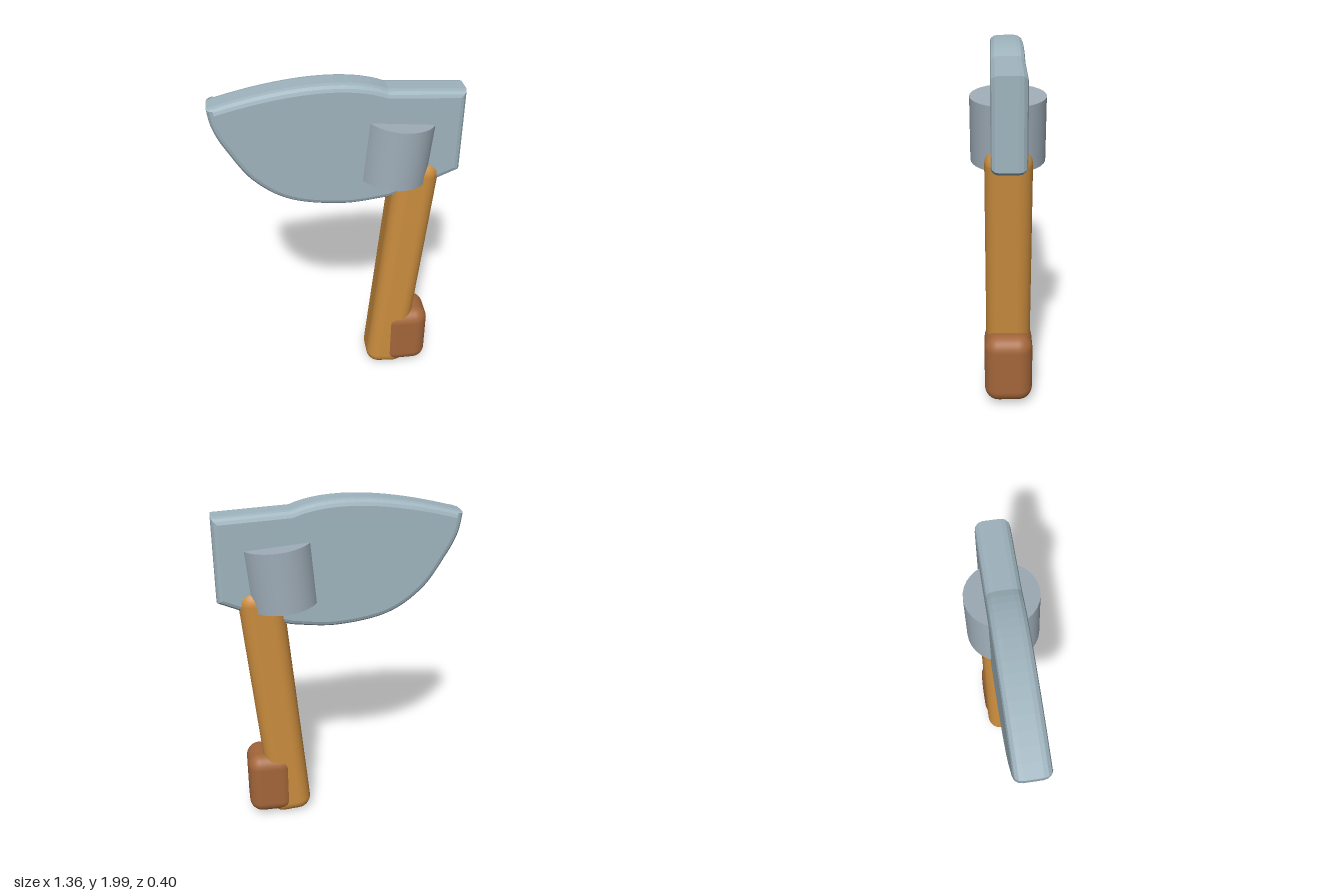
import * as THREE from 'three';
import { RoundedBoxGeometry } from 'three/addons/geometries/RoundedBoxGeometry.js';

const TILT = -0.092; // handle and collar lean toward +x

function addPart(group, name, geometry, color, x, y, tilt = 0) {
  const mesh = new THREE.Mesh(geometry, new THREE.MeshStandardMaterial({ color }));
  mesh.name = name;
  mesh.position.set(x, y, 0);
  mesh.rotation.z = tilt;
  group.add(mesh);
  return mesh;
}

// Blade outline: flat poll on the right, curved cutting edge on the left
function bladeGeometry() {
  const outline = new THREE.Shape();
  outline.moveTo(0.68, 1.925);
  outline.lineTo(0.26, 1.948);
  outline.bezierCurveTo(0.06, 2.03, -0.28, 2.01, -0.68, 1.895);
  outline.splineThru([
    [-0.66, 1.78], [-0.6, 1.655], [-0.47, 1.462], [-0.27, 1.325], [0.02, 1.273], [0.28, 1.295],
  ].map(([x, y]) => new THREE.Vector2(x, y)));
  outline.quadraticCurveTo(0.45, 1.35, 0.68, 1.45);
  outline.closePath();

  const bevel = 0.035, half = 0.092, round = 0.045;
  const geometry = new THREE.ExtrudeGeometry(outline, {
    depth: 2 * (half - round),
    bevelThickness: round,
    bevelSize: bevel,
    bevelOffset: -bevel,
    bevelSegments: 3,
    curveSegments: 16,
  });
  geometry.translate(0, 0, round - half);
  return geometry;
}

export function createModel() {
  const group = new THREE.Group();
  group.name = 'axe';

  addPart(group, 'blade', bladeGeometry(), 0x9fb4be, 0, 0);

  // Socket around the top of the handle
  addPart(group, 'collar', new THREE.CylinderGeometry(0.2, 0.2, 0.35, 32), 0x9fadb8, 0.325, 1.587, TILT);

  // Wooden shaft with softened edges
  addPart(group, 'handle', new RoundedBoxGeometry(0.25, 1.515, 0.25, 5, 0.08), 0xcb8d3e, 0.377, 0.764, TILT);

  // Upright grip knob at the foot of the handle
  addPart(group, 'gripKnob', new RoundedBoxGeometry(0.28, 0.41, 0.27, 5, 0.08), 0xa3663a, 0.43, 0.235);

  return group;
}
